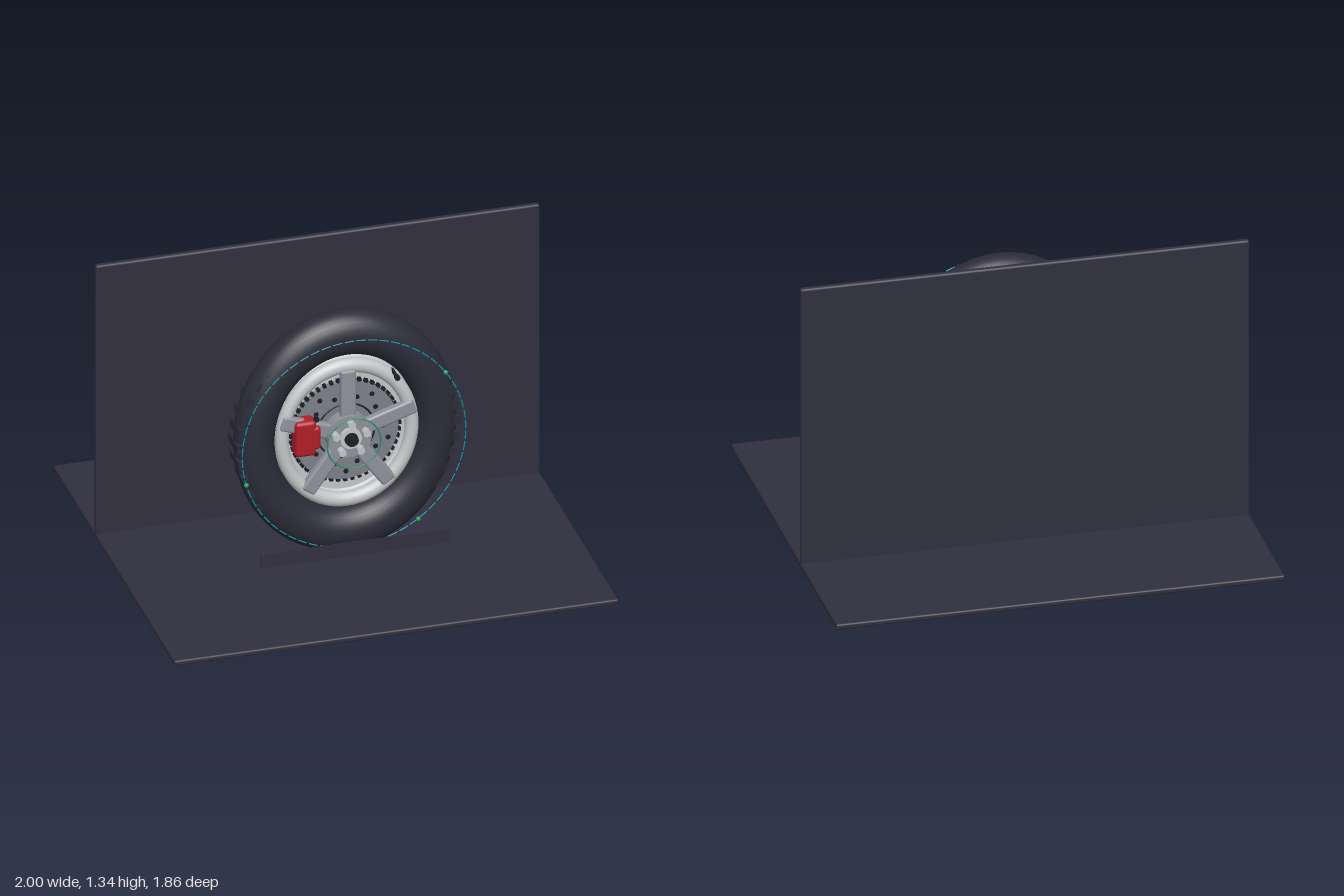
import * as THREE from 'three';
import { RoundedBoxGeometry } from 'three/addons/geometries/RoundedBoxGeometry.js';

const mat = (name, color, side = THREE.FrontSide) => {
  const m = new THREE.MeshStandardMaterial({ color, side });
  m.name = name;
  return m;
};

export function createModel() {
  const backdrop = mat('backdropSlate', 0x302f3e);
  const rubber = mat('tyreRubber', 0x2c2c38);
  const silver = mat('rimSilver', 0xc4c6c8, THREE.DoubleSide);
  const alloy = mat('spokeGrey', 0x8f929a);
  const steel = mat('discSteel', 0x7c8088);
  const dark = mat('darkMetal', 0x1c1e24);
  const red = mat('caliperRed', 0xb01e28);
  const cyan = mat('guideCyan', 0x0895a8);
  const green = mat('guideGreen', 0x1f9a5c);

  const root = new THREE.Group();
  root.name = 'wheelDisplay';
  const add = (parent, name, geo, material, x = 0, y = 0, z = 0) => {
    const m = new THREE.Mesh(geo, material);
    m.name = name;
    m.position.set(x, y, z);
    parent.add(m);
    return m;
  };
  // Cylinder whose axis runs along z
  const cylZ = (r, depth, seg = 32, r2 = r, open = false) =>
    new THREE.CylinderGeometry(r, r2, depth, seg, 1, open).rotateX(Math.PI / 2);
  // Calls fn(angle, index) for n even steps round a circle
  const around = (n, fn, start = 0) => {
    for (let i = 0; i < n; i++) fn(start + (i / n) * Math.PI * 2, i);
  };

  // Floor and rear wall
  add(root, 'floor', new RoundedBoxGeometry(2, 0.025, 1.86, 2, 0.008), backdrop, 0, 0.0125, 0);
  add(root, 'rearWall', new RoundedBoxGeometry(2, 1.33, 0.03, 2, 0.01), backdrop, 0, 0.675, -0.29);

  // Wheel: local origin at the hub, z = 0 on the tyre's middle plane
  const wheel = new THREE.Group();
  wheel.name = 'wheel';
  wheel.position.set(0, 0.604, 0.135);
  root.add(wheel);

  // Tyre and rim are taller than wide
  const tyre = add(wheel, 'tyre', new THREE.TorusGeometry(0.41, 0.09, 32, 96), rubber);
  tyre.scale.y = 1.165;
  const rim = new THREE.Group();
  rim.name = 'rim';
  rim.scale.y = 1.12;
  wheel.add(rim);
  add(rim, 'rimLip', new THREE.TorusGeometry(0.292, 0.03, 20, 80), silver, 0, 0, 0.03);
  add(rim, 'rimBackLip', new THREE.TorusGeometry(0.292, 0.03, 16, 80), silver, 0, 0, -0.04);
  add(rim, 'rimBarrel', cylZ(0.29, 0.1, 80, 0.29, true), silver);
  add(rim, 'rimInnerFlange', new THREE.RingGeometry(0.2, 0.29, 80), silver, 0, 0, -0.02);

  // Tread bars on a true circle, so they stand out at the sides
  const barGeo = new THREE.BoxGeometry(0.03, 0.04, 0.135);
  around(40, (a) => {
    const bar = add(wheel, 'treadBar', barGeo, rubber, Math.cos(a) * 0.488, Math.sin(a) * 0.488, 0);
    bar.rotation.z = a;
  });

  // Brake disc with vents round the edge and drilled holes
  add(wheel, 'brakeDisc', cylZ(0.237, 0.03, 64), steel, 0, 0, 0.0);
  add(wheel, 'discStep', new THREE.TorusGeometry(0.13, 0.004, 8, 64), dark, 0, 0, 0.015);
  const ventGeo = new THREE.BoxGeometry(0.022, 0.016, 0.02);
  around(48, (a) => {
    const vent = add(wheel, 'discVent', ventGeo, dark, Math.cos(a) * 0.24, Math.sin(a) * 0.24, 0.004);
    vent.rotation.z = a;
  });
  const holeGeo = cylZ(0.011, 0.004, 16);
  around(20, (a, i) => {
    const r = i % 2 ? 0.2 : 0.165;
    add(wheel, 'discHole', holeGeo, dark, Math.cos(a) * r, Math.sin(a) * r, 0.016);
  });

  // Five spokes with a lug nut at the root of each
  const spokeGeo = new RoundedBoxGeometry(0.24, 0.07, 0.04, 3, 0.012);
  const lugGeo = cylZ(0.018, 0.04, 6);
  around(5, (a) => {
    const c = Math.cos(a), s = Math.sin(a);
    const spoke = add(wheel, 'spoke', spokeGeo, alloy, c * 0.195, s * 0.195, 0.045);
    spoke.rotation.z = a;
    add(wheel, 'lugNut', lugGeo, silver, c * 0.072, s * 0.072, 0.095);
  }, Math.PI / 2);

  // Hub and centre cap
  add(wheel, 'hub', cylZ(0.1, 0.07, 48), alloy, 0, 0, 0.045);
  add(wheel, 'capCollar', cylZ(0.048, 0.03, 32), silver, 0, 0, 0.085);
  add(wheel, 'centreCap', cylZ(0.028, 0.05, 32, 0.034), dark, 0, 0, 0.095);

  // Brake caliper
  add(wheel, 'caliperBody', new RoundedBoxGeometry(0.095, 0.17, 0.08, 3, 0.018), red, -0.197, 0.016, 0.045);
  add(wheel, 'caliperBridge', new RoundedBoxGeometry(0.06, 0.11, 0.07, 3, 0.015), red, -0.16, 0.016, 0.05);
  add(wheel, 'caliperBolt', cylZ(0.011, 0.02, 12), dark, -0.145, 0.1, 0.06);

  // Valve stem
  add(wheel, 'valveStem', cylZ(0.008, 0.08, 12), dark, 0.205, 0.274, 0.065);
  add(wheel, 'valveCap', cylZ(0.012, 0.022, 12), dark, 0.205, 0.274, 0.104);

  // Floating guide rings, markers and panel in front of the wheel
  const guides = new THREE.Group();
  guides.name = 'guides';
  guides.position.set(0, 0.604, 0.277);
  root.add(guides);
  const dashes = 60;
  const dashGeo = new THREE.TorusGeometry(0.503, 0.003, 6, 4, (Math.PI * 2 / dashes) * 0.8);
  around(dashes, (a) => { add(guides, 'outerGuideDash', dashGeo, cyan).rotation.z = a; });
  add(guides, 'innerGuideRing', new THREE.TorusGeometry(0.12, 0.003, 6, 64), green);
  for (const deg of [35, 195, 305]) {
    const a = THREE.MathUtils.degToRad(deg);
    add(guides, 'guideMarker', new THREE.SphereGeometry(0.011, 16, 12), green,
      Math.cos(a) * 0.503, Math.sin(a) * 0.503, 0.003);
  }
  add(root, 'infoPanel', new THREE.BoxGeometry(0.85, 0.066, 0.006), backdrop, 0, 0.092, 0.283);

  return root;
}
